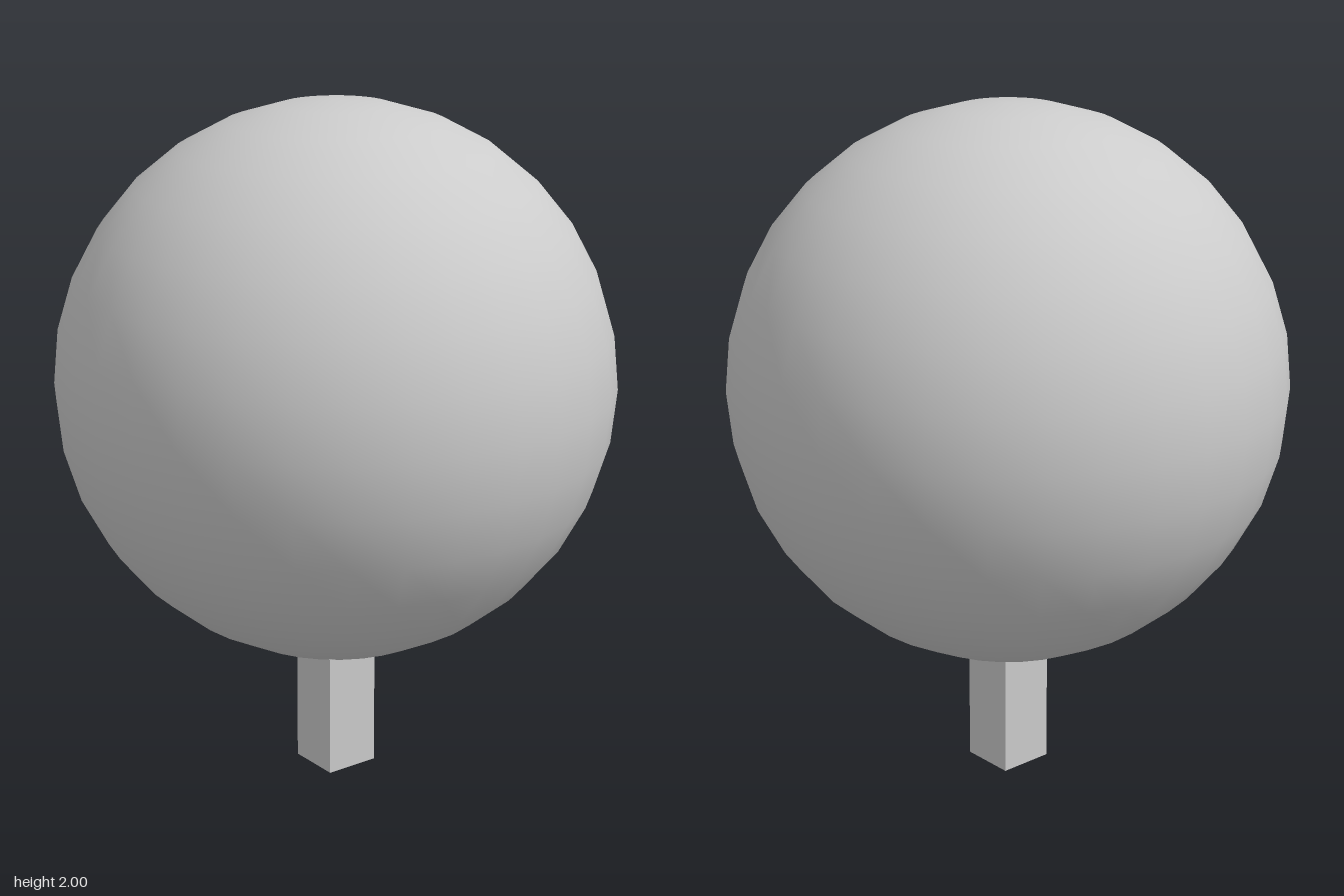
import * as THREE from 'three';

export function createModel() {
  const group = new THREE.Group();
  const material = new THREE.MeshStandardMaterial({ color: 0xcccccc });

  const addPart = (name, geometry, y) => {
    const mesh = new THREE.Mesh(geometry, material);
    mesh.name = name;
    mesh.position.y = y;
    group.add(mesh);
  };

  // Square post standing on the ground, ending just below the ball
  const postHeight = 0.365;
  addPart('trunk', new THREE.BoxGeometry(0.165, postHeight, 0.165), postHeight / 2);

  // Large smooth round crown floating above the post
  const radius = 0.806;
  addPart('crown', new THREE.SphereGeometry(radius, 32, 16), 2 - radius);

  return group;
}
